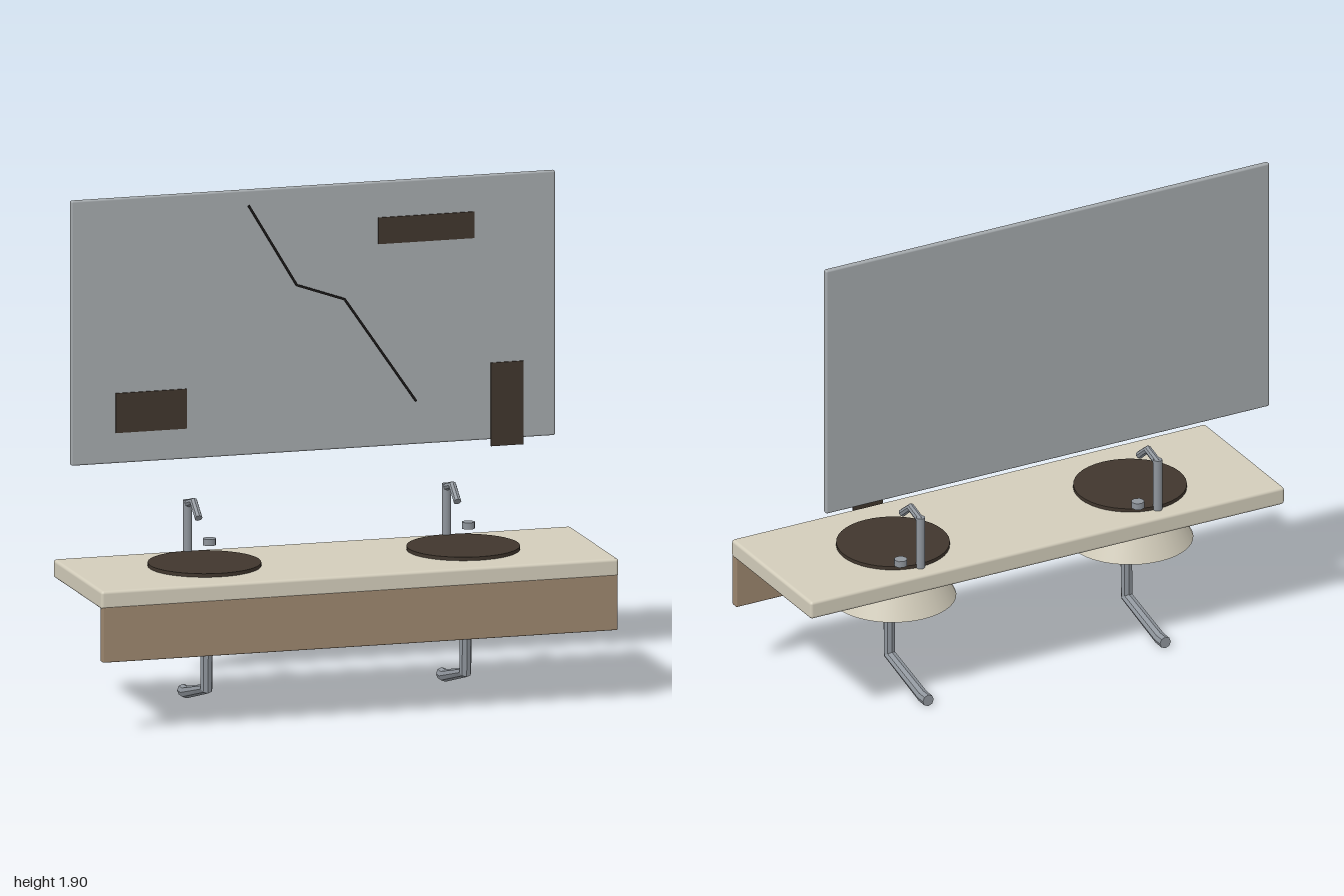
import * as THREE from 'three';
import { RoundedBoxGeometry } from 'three/addons/geometries/RoundedBoxGeometry.js';

const material = (name, color) => {
  const m = new THREE.MeshStandardMaterial({ color });
  m.name = name;
  return m;
};

// Capped pipe through points [y, z] in the x = 0 plane, one ring per point
function pipe(points, radius, sides = 8) {
  const path = points.map(([y, z]) => new THREE.Vector3(0, y, z));
  const pos = [], index = [];
  const X = new THREE.Vector3(1, 0, 0);
  const last = path.length - 1;
  path.forEach((p, i) => {
    const t = new THREE.Vector3();
    if (i > 0) t.add(p.clone().sub(path[i - 1]).normalize());
    if (i < last) t.add(path[i + 1].clone().sub(p).normalize());
    const n = t.normalize().cross(X);
    for (let s = 0; s < sides; s++) {
      const a = (s / sides) * Math.PI * 2;
      const v = p.clone().addScaledVector(X, Math.cos(a) * radius).addScaledVector(n, Math.sin(a) * radius);
      pos.push(v.x, v.y, v.z);
    }
  });
  for (let i = 0; i < last; i++) {
    for (let s = 0; s < sides; s++) {
      const a = i * sides + s, b = i * sides + (s + 1) % sides;
      index.push(a, b, a + sides, b, b + sides, a + sides);
    }
  }
  for (let s = 1; s < sides - 1; s++) {
    index.push(0, s + 1, s);
    index.push(last * sides, last * sides + s, last * sides + s + 1);
  }
  const g = new THREE.BufferGeometry();
  g.setAttribute('position', new THREE.Float32BufferAttribute(pos, 3));
  g.setIndex(index);
  const flat = g.toNonIndexed();
  flat.computeVertexNormals();
  return flat;
}

export function createModel() {
  const model = new THREE.Group();
  model.name = 'doubleVanity';
  const stone = material('cream stone', 0xd3cdbb);
  const wood = material('brown wood', 0x9c866e);
  const glass = material('mirror grey', 0xa4a9ac);
  const metal = material('metal grey', 0x8f959c);
  const dark = material('dark grime', 0x40362d);
  const black = material('crack black', 0x1c1a19);

  const add = (parent, name, geometry, mat, x, y, z) => {
    const mesh = new THREE.Mesh(geometry, mat);
    mesh.name = name;
    mesh.position.set(x, y, z);
    parent.add(mesh);
    return mesh;
  };

  // Counter and front apron
  add(model, 'counter', new RoundedBoxGeometry(2, 0.07, 0.61, 2, 0.012), stone, 0, 0.515, 0);
  add(model, 'apron', new RoundedBoxGeometry(1.99, 0.21, 0.032, 2, 0.005), wood, 0, 0.385, 0.289);

  // Mirror
  add(model, 'mirror', new RoundedBoxGeometry(1.87, 1, 0.022, 2, 0.007), glass, 0, 1.4, -0.295);

  // Dark patches on the mirror: x0, x1, y0, y1
  const patches = [
    [-0.765, -0.49, 1.015, 1.165],
    [0.25, 0.62, 1.665, 1.765],
    [0.685, 0.81, 0.875, 1.19],
  ];
  for (const [x0, x1, y0, y1] of patches) {
    add(model, 'mirrorPatch', new THREE.BoxGeometry(x1 - x0, y1 - y0, 0.005), dark,
      (x0 + x1) / 2, (y0 + y1) / 2, -0.2815);
  }

  // Crack running across the mirror
  const crack = [[-0.25, 1.84], [-0.065, 1.53], [0.12, 1.465], [0.395, 1.065]];
  for (let i = 0; i < 3; i++) {
    const [ax, ay] = crack[i], [bx, by] = crack[i + 1];
    const strip = add(model, 'mirrorCrack',
      new THREE.BoxGeometry(Math.hypot(bx - ax, by - ay) + 0.003, 0.008, 0.008), black,
      (ax + bx) / 2, (ay + by) / 2, -0.28);
    strip.rotation.z = Math.atan2(by - ay, bx - ax);
  }

  // Two identical sink stations
  for (const x of [-0.5, 0.5]) {
    const sink = new THREE.Group();
    sink.name = x < 0 ? 'rightSink' : 'leftSink';
    sink.position.x = x;
    model.add(sink);
    add(sink, 'basinOpening', new THREE.CylinderGeometry(0.21, 0.21, 0.015, 40), dark, 0, 0.556, -0.027);
    add(sink, 'basinUnderside', new THREE.CylinderGeometry(0.17, 0.235, 0.145, 40), stone, 0, 0.4175, -0.025);
    add(sink, 'faucetPost', new THREE.CylinderGeometry(0.017, 0.017, 0.205, 12), metal, 0, 0.6525, -0.238);
    add(sink, 'faucetSpout', pipe([[0.742, -0.24], [0.764, -0.163], [0.714, -0.1]], 0.015), metal, 0, 0, 0);
    add(sink, 'faucetKnob', new THREE.CylinderGeometry(0.025, 0.025, 0.025, 8), metal, 0.085, 0.592, -0.24);
    add(sink, 'drainPipe',
      pipe([[0.35, 0.003], [0.09, -0.002], [0.026, -0.255], [0.026, -0.297]], 0.023), metal, 0, 0, 0);
  }
  return model;
}
